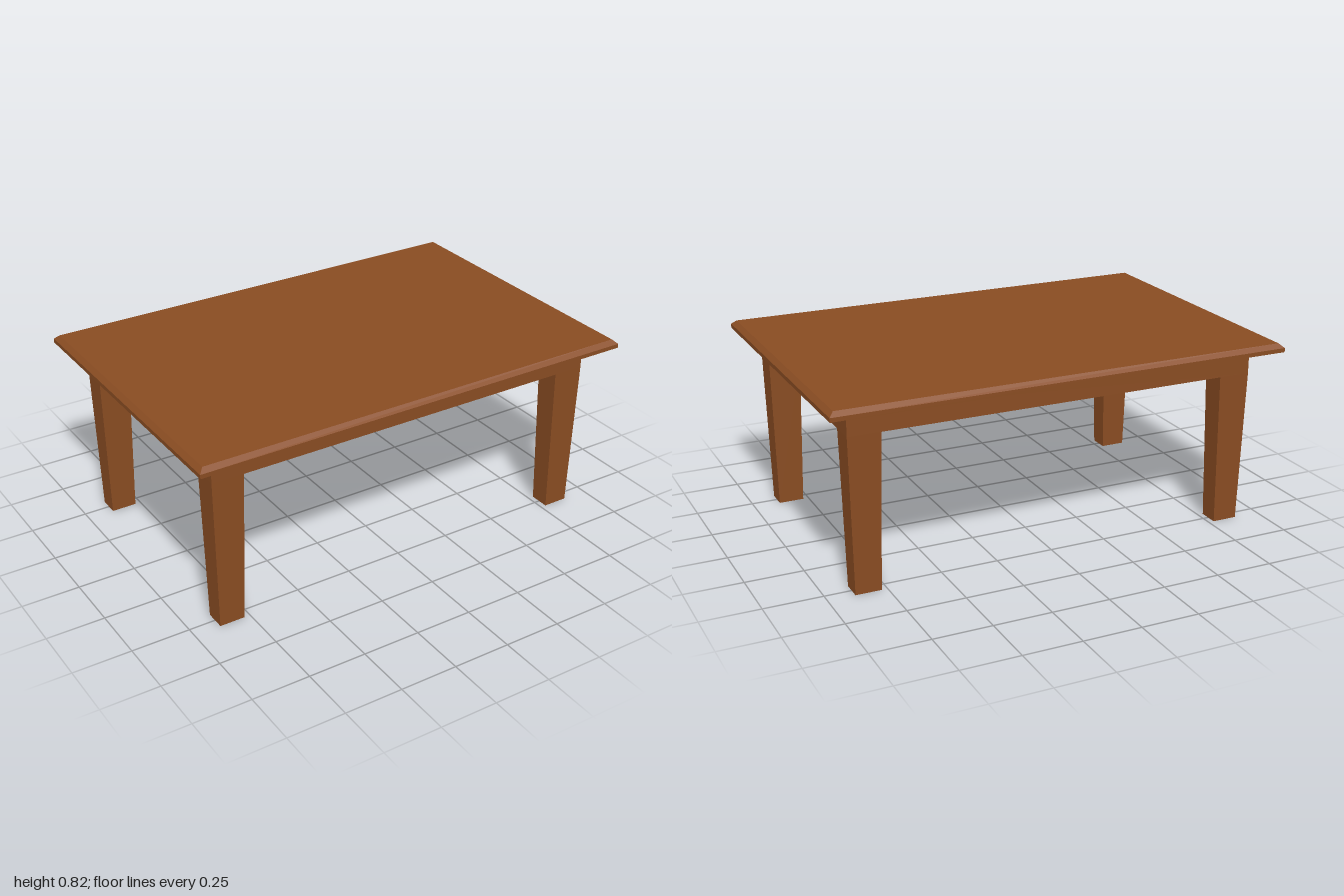
import * as THREE from 'three';

// Block between two heights whose lower and upper rectangles may differ.
// Rectangles are [x0, x1, z0, z1].
function taperedBlock(y0, y1, lower, upper) {
  const geometry = new THREE.BoxGeometry(1, 1, 1);
  const p = geometry.attributes.position;
  for (let i = 0; i < p.count; i++) {
    const isTop = p.getY(i) > 0;
    const r = isTop ? upper : lower;
    p.setXYZ(i, p.getX(i) > 0 ? r[1] : r[0], isTop ? y1 : y0, p.getZ(i) > 0 ? r[3] : r[2]);
  }
  geometry.computeVertexNormals();
  return geometry;
}

// Rectangle centred on the origin
const centred = (x, z) => [-x, x, -z, z];

function rectanglePath(PathType, x, z) {
  return new PathType([
    new THREE.Vector2(-x, -z), new THREE.Vector2(x, -z),
    new THREE.Vector2(x, z), new THREE.Vector2(-x, z),
  ]);
}

export function createModel() {
  const wood = new THREE.MeshStandardMaterial({ color: 0x894c22 });
  wood.name = 'brown wood';

  const table = new THREE.Group();
  table.name = 'table';
  const add = (name, geometry) => {
    const mesh = new THREE.Mesh(geometry, wood);
    mesh.name = name;
    table.add(mesh);
  };

  const apronBottom = 0.67, topBottom = 0.781, bevelStart = 0.799, topHeight = 0.817;

  // Tabletop slab with a chamfered upper edge
  add('tabletop', taperedBlock(topBottom, bevelStart, centred(1, 0.667), centred(1, 0.667)));
  add('tabletopBevel', taperedBlock(bevelStart, topHeight, centred(1, 0.667), centred(0.98, 0.647)));

  // Apron: a hollow frame as thick as the legs
  const outline = rectanglePath(THREE.Shape, 0.9, 0.556);
  outline.holes.push(rectanglePath(THREE.Path, 0.761, 0.447));
  const apron = new THREE.ExtrudeGeometry(outline, { depth: topBottom - apronBottom, bevelEnabled: false });
  apron.rotateX(-Math.PI / 2).translate(0, apronBottom, 0);
  add('apron', apron);

  // Four legs, narrowing towards the floor
  for (const [side, sx] of [['Left', 1], ['Right', -1]]) {
    for (const [end, sz] of [['front', 1], ['back', -1]]) {
      const corner = (x0, x1, z0, z1) => [
        Math.min(sx * x0, sx * x1), Math.max(sx * x0, sx * x1),
        Math.min(sz * z0, sz * z1), Math.max(sz * z0, sz * z1),
      ];
      add(`${end}${side}Leg`, taperedBlock(0, apronBottom,
        corner(0.775, 0.885, 0.457, 0.545), corner(0.761, 0.9, 0.447, 0.556)));
    }
  }
  return table;
}
